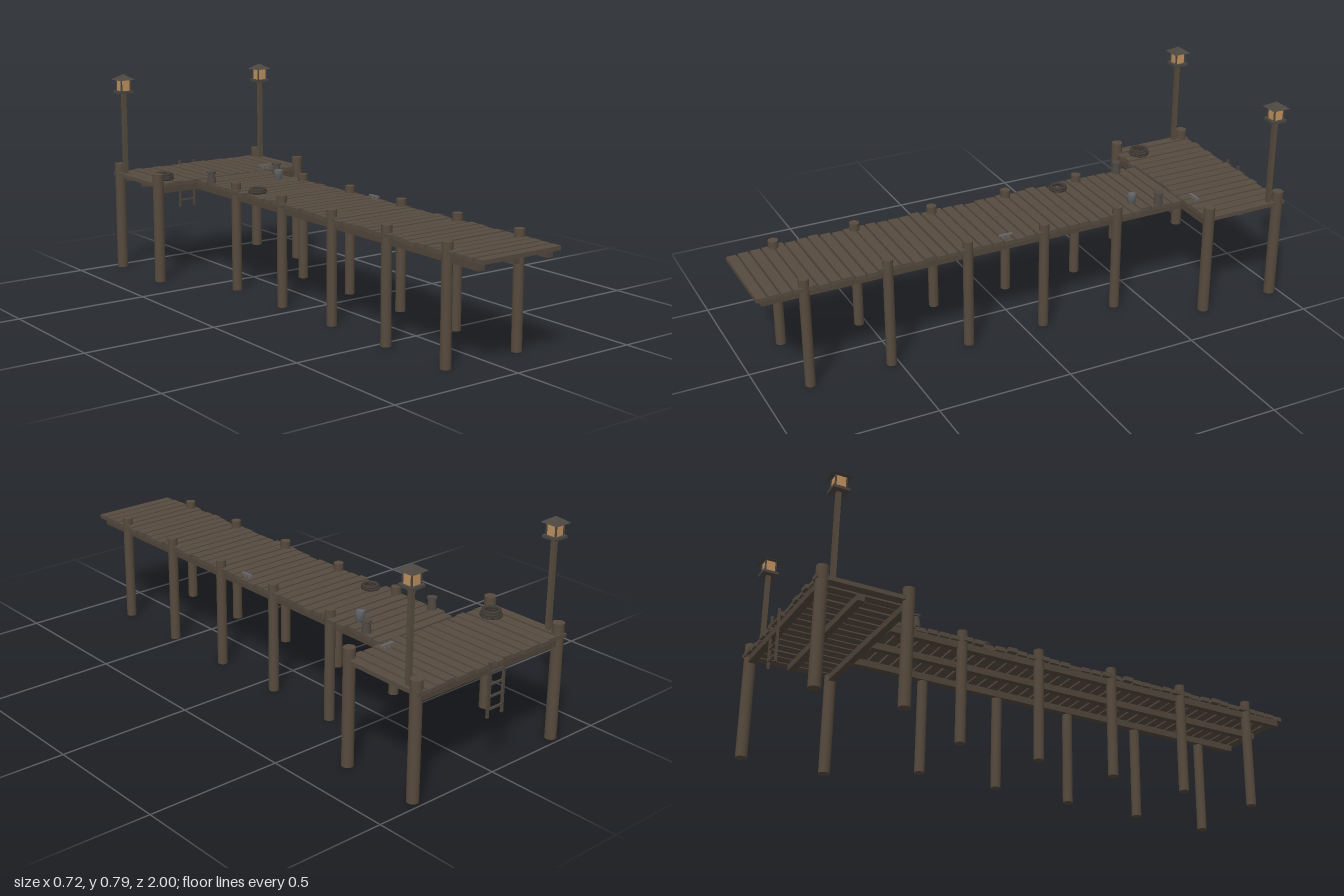
import * as THREE from 'three';

const mat = (name, color) => {
  const m = new THREE.MeshStandardMaterial({ color });
  m.name = name;
  return m;
};

// Small seeded generator for plank irregularity, -1..1
let seed = 7;
const jitter = () => {
  seed = (seed * 16807) % 2147483647;
  return (seed / 2147483647) * 2 - 1;
};

export function createModel() {
  seed = 7;
  const plankWood = mat('plankWood', 0x554a40);
  const pileWood = mat('pileWood', 0x564a3d);
  const beamWood = mat('beamWood', 0x50453a);
  const darkIron = mat('darkIron', 0x4c4640);
  const ropeFibre = mat('rope', 0x3f3933);
  const steel = mat('steel', 0x67686b);
  const lampGlass = mat('lampGlass', 0xc0915e);

  const model = new THREE.Group();
  model.name = 'pier';

  const add = (parent, name, geo, m, x, y, z) => {
    const mesh = new THREE.Mesh(geo, m);
    mesh.name = name;
    mesh.position.set(x, y, z);
    parent.add(mesh);
    return mesh;
  };
  const box = (p, name, m, w, h, d, x, y, z) =>
    add(p, name, new THREE.BoxGeometry(w, h, d), m, x, y, z);
  const cyl = (p, name, m, rTop, rBottom, y0, y1, x, z, sides = 14) =>
    add(p, name, new THREE.CylinderGeometry(rTop, rBottom, y1 - y0, sides), m, x, (y0 + y1) / 2, z);
  const group = (name, x = 0, y = 0, z = 0) => {
    const g = new THREE.Group();
    g.name = name;
    g.position.set(x, y, z);
    model.add(g);
    return g;
  };

  // Piles under the walkway and at the platform corners
  const piles = group('piles');
  for (const s of [-1, 1]) {
    for (let i = 0; i < 5; i++)
      cyl(piles, 'walkwayPile', pileWood, 0.0185, 0.0185, 0, 0.416, s * 0.155, 0.83 - i * 0.302);
    for (const z of [-0.663, -0.965])
      cyl(piles, 'platformPile', pileWood, 0.021, 0.021, 0, 0.425, s * 0.328, z);
  }

  // Stringers along the walkway, joists across the platform
  const beams = group('beams');
  for (const x of [-0.146, 0, 0.146])
    box(beams, 'stringer', beamWood, 0.025, 0.026, 1.63, x, 0.362, 0.165);
  for (const z of [-0.665, -0.82, -0.965])
    box(beams, 'joist', beamWood, 0.616, 0.026, 0.025, 0, 0.362, z);

  // Walkway planks, slightly uneven in length and position
  const deck = group('deck');
  const count = 38, pitch = 1.65 / count;
  for (let i = 0; i < count; i++) {
    const z = 1 - 0.018 - i * pitch;
    box(deck, 'walkwayPlank', plankWood, 0.341 + jitter() * 0.009, 0.015, 0.036,
      jitter() * 0.008, 0.381 + jitter() * 0.001, z);
  }

  // Platform planks running front to back
  for (let i = 0; i < 16; i++) {
    const x = (i - 7.5) * 0.0434;
    box(deck, 'platformPlank', plankWood, 0.036, 0.015, 0.334 + jitter() * 0.006,
      x, 0.381 + jitter() * 0.001, -0.819 + jitter() * 0.004);
  }

  // Lamp posts with four-sided lanterns
  for (const s of [-1, 1]) {
    const lamp = group('lampPost', s * 0.324, 0, -0.927);
    box(lamp, 'post', pileWood, 0.016, 0.33, 0.016, 0, 0.551, 0);
    box(lamp, 'lanternBase', darkIron, 0.058, 0.01, 0.058, 0, 0.717, 0);
    box(lamp, 'lanternGlass', lampGlass, 0.038, 0.045, 0.038, 0, 0.744, 0);
    for (const a of [-1, 1])
      for (const b of [-1, 1])
        box(lamp, 'lanternCorner', darkIron, 0.005, 0.045, 0.005, a * 0.0192, 0.744, b * 0.0192);
    const roofGeo = new THREE.ConeGeometry(0.05, 0.022, 4).toNonIndexed();
    roofGeo.rotateY(Math.PI / 4);
    roofGeo.computeVertexNormals();
    add(lamp, 'lanternRoof', roofGeo, darkIron, 0, 0.776, 0);
  }

  // Coiled ropes, loops shrinking towards the top
  const coil = (x, z, outer, loops) => {
    const g = group('ropeCoil', x, 0, z);
    for (let i = 0; i < loops; i++) {
      const r = outer - 0.006 - i * 0.003;
      const geo = new THREE.TorusGeometry(r, 0.006, 8, 24);
      geo.rotateX(Math.PI / 2);
      add(g, 'ropeLoop', geo, ropeFibre, (i % 2) * 0.002, 0.393 + i * 0.008, 0);
    }
  };
  coil(-0.265, -0.727, 0.04, 3);
  coil(-0.122, -0.282, 0.035, 2);

  // Mooring bollards
  for (const s of [-1, 1]) {
    const b = group('bollard', s * 0.153, 0, -0.555);
    cyl(b, 'bollardStem', darkIron, 0.0125, 0.018, 0.387, 0.427, 0, 0);
    cyl(b, 'bollardCap', darkIron, 0.018, 0.018, 0.426, 0.433, 0, 0);
  }

  // Open bucket
  const bucketGeo = new THREE.LatheGeometry([
    [0, 0], [0.015, 0], [0.019, 0.036], [0.017, 0.036], [0.0135, 0.004], [0, 0.004],
  ].map(([r, y]) => new THREE.Vector2(r, y)), 16);
  const bucketSteel = steel;
  bucketSteel.side = THREE.DoubleSide;
  add(model, 'bucket', bucketGeo, bucketSteel, 0.103, 0.388, -0.47);

  // Mooring cleats
  const cleat = (x, z, turn) => {
    const g = group('cleat', x, 0, z);
    g.rotation.y = turn;
    box(g, 'cleatBar', steel, 0.052, 0.006, 0.008, 0, 0.402, 0);
    for (const s of [-1, 1])
      box(g, 'cleatFoot', steel, 0.006, 0.014, 0.007, s * 0.01, 0.394, 0);
  };
  cleat(0.15, 0.077, Math.PI / 2);
  cleat(0.188, -0.69, 0);

  // Ladder at the back edge
  const ladder = group('ladder', 0, 0, -0.995);
  for (const s of [-1, 1])
    box(ladder, 'ladderRail', beamWood, 0.008, 0.195, 0.008, s * 0.034, 0.3025, 0);
  for (const y of [0.234, 0.278, 0.321, 0.364])
    box(ladder, 'ladderRung', darkIron, 0.064, 0.007, 0.006, 0, y, 0);

  return model;
}
